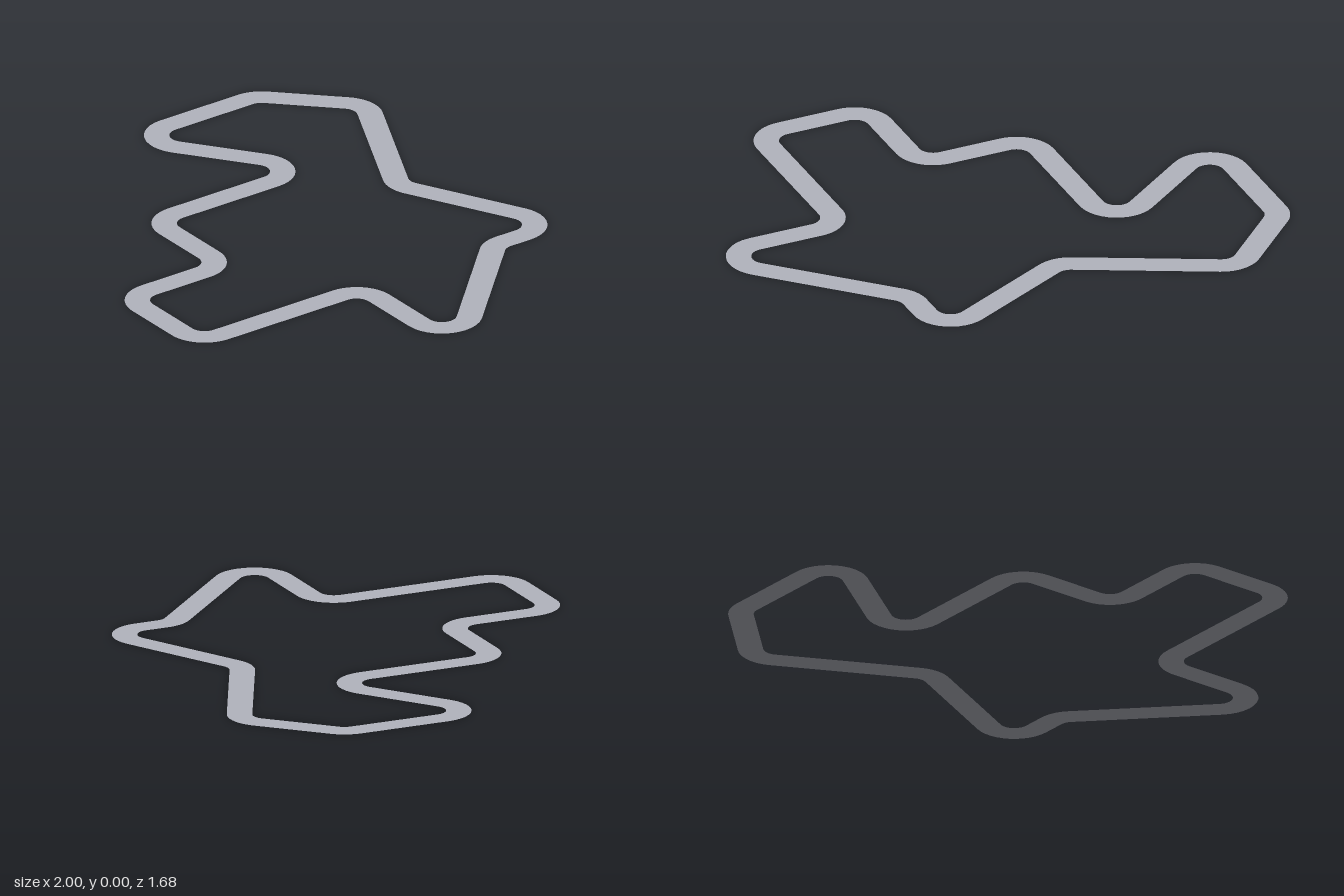
import * as THREE from 'three';

const HALF_WIDTH = 0.046; // half the width of the road
const BEND_RADIUS = 0.1;  // centre-line radius of every bend
const BEND_STEPS = 12;

// corners of the circuit's centre line [x, z], clockwise from above
const CORNERS = [
  [-0.953, -0.53], [-0.664, -0.818], [-0.075, -0.527], [0.51, -0.82],
  [0.51, -0.528], [1.098, 0.059], [0.51, 0.059], [0.51, 0.791],
  [0.07, 0.791], [0.07, 0.35], [-0.369, 0.35], [-0.369, -0.375],
  [-0.953, 0.054],
];

// unit vector to the left of a heading
const leftOf = (a) => new THREE.Vector2(Math.sin(a), -Math.cos(a));

// centre-line points with their left-hand directions, every corner rounded
function roundedPath() {
  const pts = CORNERS.map(([x, z]) => new THREE.Vector2(x, z));
  const n = pts.length;
  const path = [];
  pts.forEach((corner, i) => {
    const dirIn = corner.clone().sub(pts[(i + n - 1) % n]).normalize();
    const dirOut = pts[(i + 1) % n].clone().sub(corner).normalize();
    const heading = Math.atan2(dirIn.y, dirIn.x);
    const turn = Math.atan2(dirIn.cross(dirOut), dirIn.dot(dirOut));
    const r = Math.sign(turn) * BEND_RADIUS;
    const setback = BEND_RADIUS * Math.tan(Math.abs(turn) / 2);
    const centre = corner.clone()
      .addScaledVector(dirIn, -setback)
      .addScaledVector(leftOf(heading), -r);
    for (let k = 0; k <= BEND_STEPS; k++) {
      const left = leftOf(heading + turn * k / BEND_STEPS);
      path.push({ point: centre.clone().addScaledVector(left, r), left });
    }
  });
  return path;
}

// flat closed ribbon along the path
function ribbonGeometry(path) {
  const positions = [];
  const normals = [];
  const indices = [];
  path.forEach(({ point, left }, i) => {
    for (const side of [1, -1]) {
      const p = point.clone().addScaledVector(left, side * HALF_WIDTH);
      positions.push(p.x, 0, p.y);
      normals.push(0, 1, 0);
    }
    const a = i * 2;
    const b = ((i + 1) % path.length) * 2;
    indices.push(a, a + 1, b + 1, a, b + 1, b);
  });
  const geometry = new THREE.BufferGeometry();
  geometry.setAttribute('position', new THREE.Float32BufferAttribute(positions, 3));
  geometry.setAttribute('normal', new THREE.Float32BufferAttribute(normals, 3));
  geometry.setIndex(indices);
  return geometry;
}

export function createModel() {
  const group = new THREE.Group();
  group.name = 'circuit';

  const asphalt = new THREE.MeshStandardMaterial({ color: 0xb2b4be, side: THREE.DoubleSide });
  asphalt.name = 'light grey asphalt';

  // road surface
  const road = new THREE.Mesh(ribbonGeometry(roundedPath()), asphalt);
  road.name = 'road';
  group.add(road);

  return group;
}
